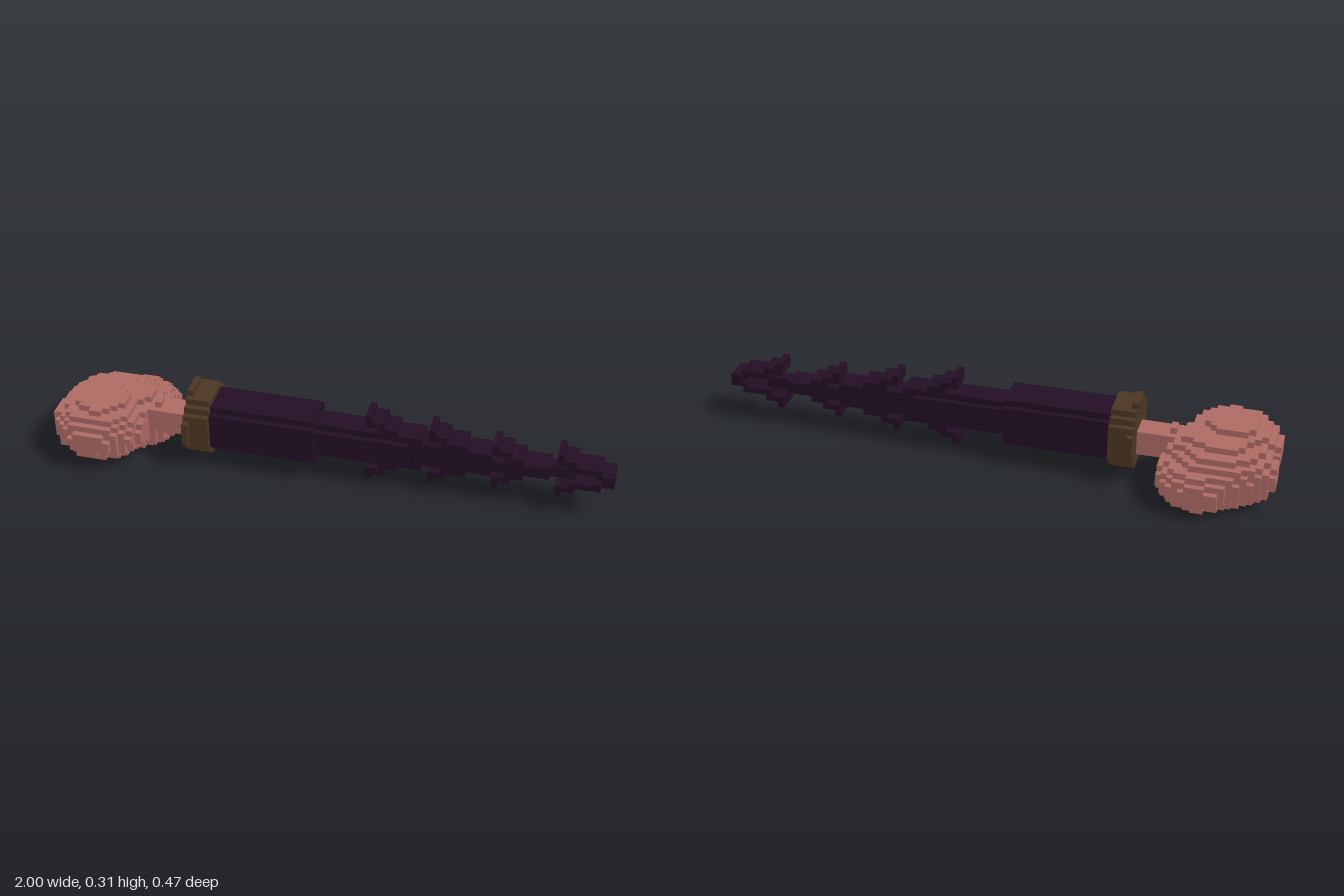
import * as THREE from 'three';
import { mergeGeometries } from 'three/addons/utils/BufferGeometryUtils.js';

const U = 2 / 90; // size of one cube cell

// Box covering cells [x0,x1) [y0,y1) [z0,z1); z counted from the back edge
function cells(x0, x1, y0, y1, z0, z1) {
  const g = new THREE.BoxGeometry((x1 - x0) * U, (y1 - y0) * U, (z1 - z0) * U);
  return g.translate(-1 + (x0 + x1) * U / 2, (y0 + y1) * U / 2, (z0 + z1 - 21) * U / 2);
}

const CY = 8, CZ = 11; // cell axis of the shaft

// Stepped round section: half widths listed from the axis outwards
function disc(x0, x1, halfWidths) {
  const out = [];
  halfWidths.forEach((w, n) => {
    out.push(cells(x0, x1, CY + n, CY + n + 1, CZ - w, CZ + w));
    out.push(cells(x0, x1, CY - n - 1, CY - n, CZ - w, CZ + w));
  });
  return out;
}

// Slab on the upper side of the shaft and its mirror on the lower side
function mirrored(x0, x1, d0, d1, w = 2) {
  return [
    cells(x0, x1, CY + d0, CY + d1, CZ - w, CZ + w),
    cells(x0, x1, CY - d1, CY - d0, CZ - w, CZ + w),
  ];
}

// Fill overlapping ellipsoids with rows of cells along x
function blob(ellipsoids) {
  const inside = (i, j, k) => {
    const x = -1 + (i + 0.5) * U, y = (j + 0.5) * U, z = (k - 10) * U;
    return ellipsoids.some(([cx, cy, cz, rx, ry, rz]) =>
      ((x - cx) / rx) ** 2 + ((y - cy) / ry) ** 2 + ((z - cz) / rz) ** 2 <= 1);
  };
  const out = [];
  for (let j = 0; j < 14; j++) for (let k = 0; k < 21; k++) {
    let start = -1;
    for (let i = 0; i <= 20; i++) {
      const full = i < 20 && inside(i, j, k);
      if (full && start < 0) start = i;
      if (!full && start >= 0) { out.push(cells(start, i, j, j + 1, k, k + 1)); start = -1; }
    }
  }
  return out;
}

export function createModel() {
  const group = new THREE.Group();
  const material = (name, color) => {
    const m = new THREE.MeshStandardMaterial({ color });
    m.name = name;
    return m;
  };
  const pink = material('dusty pink', 0xb06c66);
  const brown = material('dark brown', 0x4c3722);
  const dark = material('dark purple', 0x240f24);
  const add = (name, mat, parts) => {
    const mesh = new THREE.Mesh(mergeGeometries(parts), mat);
    mesh.name = name;
    group.add(mesh);
  };

  // Lobed pommel: high front lobe, low back lobe, shared body
  add('pommel', pink, blob([
    [-0.83, 0.14, 0.07, 0.17, 0.11, 0.168],
    [-0.75, 0.09, -0.07, 0.16, 0.092, 0.168],
    [-0.81, 0.11, -0.04, 0.195, 0.112, 0.15],
    [-0.74, 0.14, -0.02, 0.13, 0.085, 0.1],
  ]));
  add('neck', pink, [cells(15, 22, 5, 9, 9, 13), cells(16, 17, 9, 10, 10, 12)]);

  // Collar with a wider rim on the pommel side
  add('collar', brown, [
    ...disc(22, 23, [6, 6, 5, 4, 3]),
    cells(22, 23, 13, 14, 9, 13),
    ...disc(23, 26, [5, 5, 5, 4, 3]),
  ]);

  // Round shaft in two steps
  add('shaft', dark, [
    ...disc(26, 43, [4, 4, 4, 3]),
    ...disc(43, 58, [3, 3, 2]),
    ...mirrored(58, 60, 0, 3),
  ]);

  // Narrowing flat core
  add('core', dark, [
    ...mirrored(60, 71, 0, 2),
    ...mirrored(71, 80, 0, 1),
    ...mirrored(80, 84, 0, 1, 1),
  ]);

  // Hooked barbs: [start, tip height, tip cells, root end, distance of root]
  const barbs = [
    [51, 6, 56, 3],
    [61, 5, 67, 2],
    [71, 4, 76, 1],
    [81, 4, 88, 1],
  ];
  add('barbs', dark, barbs.flatMap(([x, top, end, root]) => [
    ...mirrored(x, x + 1, root + 1, top),
    ...mirrored(x, x + 3, root + 1, root + 2),
    ...mirrored(x + 2, end, root, root + 1),
  ]));

  // Closed fork at the tip
  add('tip', dark, [...mirrored(87, 88, 0.5, 2), ...mirrored(88, 90, 0, 1)]);
  return group;
}
